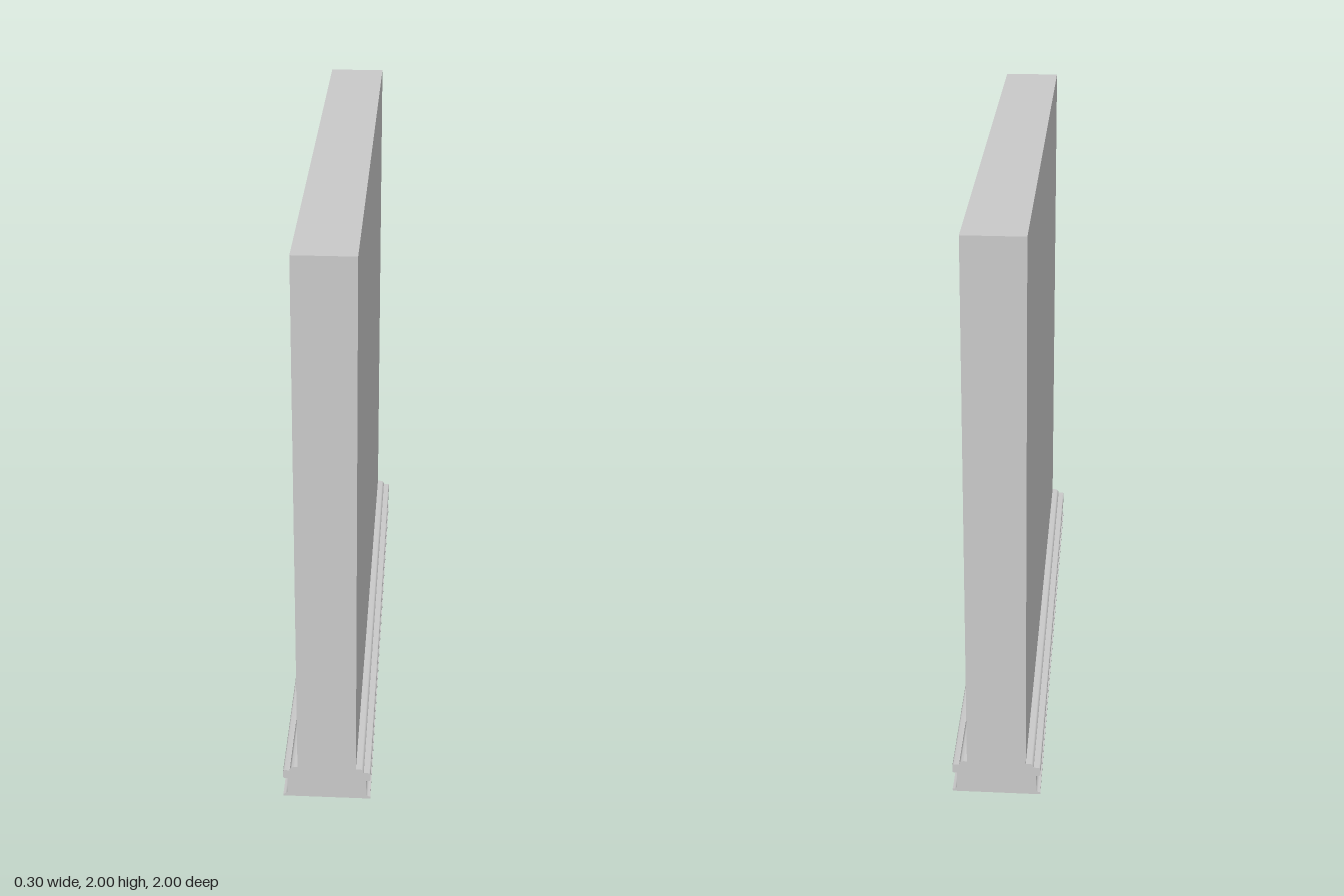
import * as THREE from 'three';
import { toCreasedNormals } from 'three/addons/utils/BufferGeometryUtils.js';

const LENGTH = 2, HEIGHT = 2, HALF_WALL = 0.1;

// Cross-section of the skirting board, on the +x side of the wall
function skirtingProfile() {
  const s = new THREE.Shape();
  s.moveTo(HALF_WALL, 0);
  s.lineTo(0.15, 0);
  s.lineTo(0.15, 0.008);
  s.quadraticCurveTo(0.138, 0.01, 0.135, 0.018); // foot
  s.lineTo(0.135, 0.076);
  s.lineTo(0.144, 0.076);
  s.quadraticCurveTo(0.15, 0.077, 0.15, 0.084); // rounded bead
  s.lineTo(0.15, 0.102);
  s.quadraticCurveTo(0.15, 0.11, 0.142, 0.11);
  s.lineTo(0.127, 0.11);
  s.quadraticCurveTo(0.125, 0.125, 0.11, 0.125); // rounded top step
  s.lineTo(HALF_WALL, 0.125);
  s.closePath();
  return s;
}

export function createModel() {
  const model = new THREE.Group();
  model.name = 'wallWithSkirting';
  const material = new THREE.MeshStandardMaterial({ color: 0xcccccc });

  // Plain wall slab
  const wall = new THREE.Mesh(new THREE.BoxGeometry(HALF_WALL * 2, HEIGHT, LENGTH), material);
  wall.name = 'wall';
  wall.position.y = HEIGHT / 2;
  model.add(wall);

  // Matching skirting boards along both sides
  const extruded = new THREE.ExtrudeGeometry(skirtingProfile(), {
    depth: LENGTH, bevelEnabled: false, curveSegments: 6,
  });
  extruded.translate(0, 0, -LENGTH / 2);
  const skirting = toCreasedNormals(extruded, Math.PI / 6);
  ['leftSkirting', 'rightSkirting'].forEach((name, i) => {
    const board = new THREE.Mesh(skirting, material);
    board.name = name;
    board.rotation.y = i * Math.PI;
    model.add(board);
  });

  return model;
}
